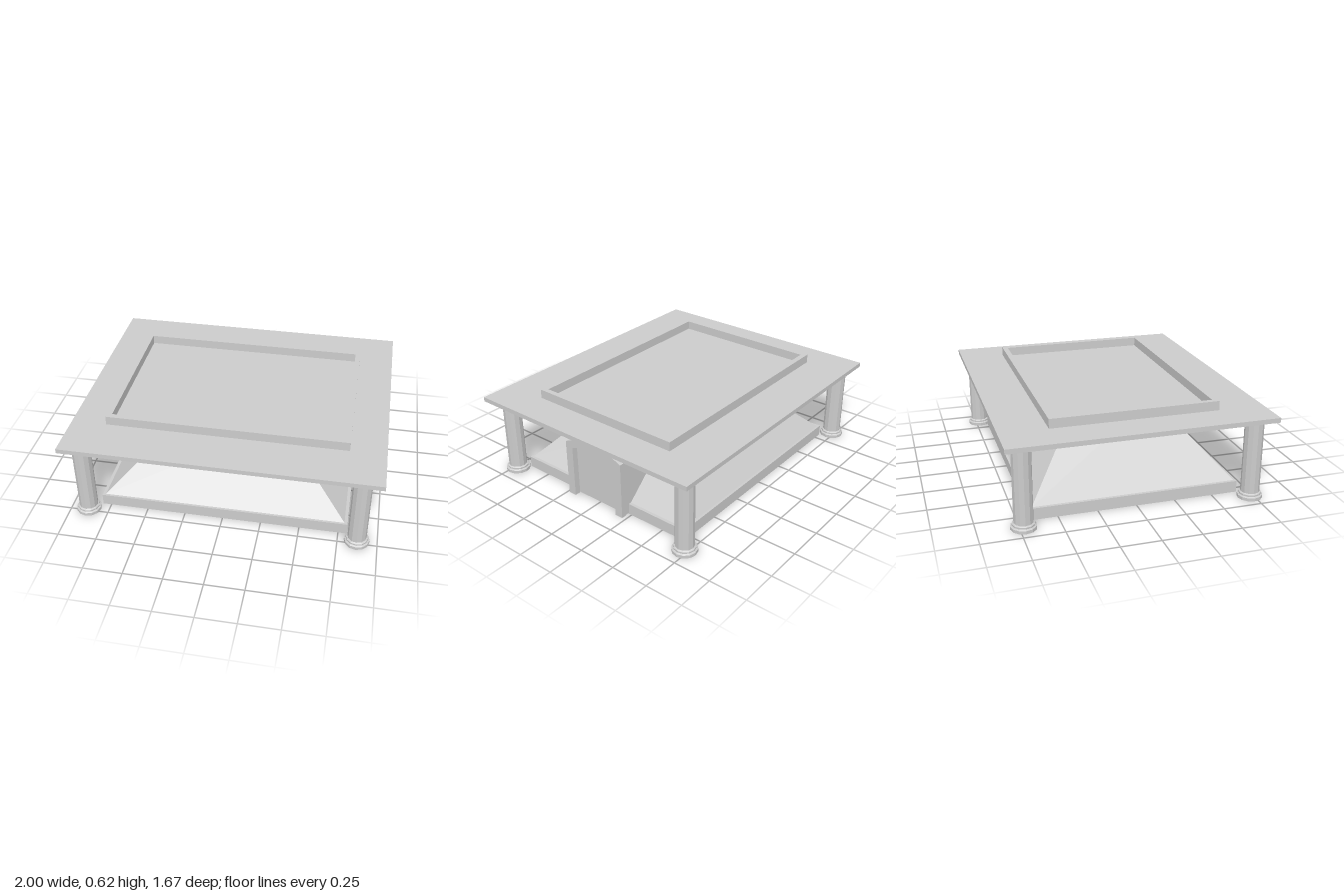
import * as THREE from 'three';

const material = new THREE.MeshStandardMaterial({ color: 0xcccccc, flatShading: true });

function add(parent, name, geometry, x = 0, y = 0, z = 0) {
  const mesh = new THREE.Mesh(geometry, material);
  mesh.name = name;
  mesh.position.set(x, y, z);
  parent.add(mesh);
  return mesh;
}

// Box given by half width, half depth and its bottom and top heights
function slab(parent, name, hx, hz, y0, y1) {
  return add(parent, name, new THREE.BoxGeometry(hx * 2, y1 - y0, hz * 2), 0, (y0 + y1) / 2, 0);
}

// Corners of a gabled outline: half width, bottom, eave and ridge heights
function gable(w, bottom, eave, ridge) {
  return [[-w, bottom], [w, bottom], [w, eave], [0, ridge], [-w, eave]]
    .map(([x, y]) => new THREE.Vector2(x, y));
}

// Extrusion running along +x from x0 to x1
function extrudeX(parent, name, shape, x0, x1) {
  const geometry = new THREE.ExtrudeGeometry(shape, { depth: x1 - x0, bevelEnabled: false });
  geometry.rotateY(Math.PI / 2);
  return add(parent, name, geometry, x0, 0, 0);
}

function createColumn(x, z) {
  const column = new THREE.Group();
  column.name = 'column';
  column.position.set(x, 0, z);
  const profile = [[0, 0], [0.08, 0], [0.08, 0.02], [0.07, 0.026], [0.07, 0.036], [0.06, 0.042],
    [0.06, 0.53], [0, 0.53]].map(([r, y]) => new THREE.Vector2(r, y));
  add(column, 'columnShaftAndFoot', new THREE.LatheGeometry(profile, 12));
  return column;
}

export function createModel() {
  const model = new THREE.Group();
  model.name = 'pavilion';

  // Plinth and sloping body
  slab(model, 'plinth', 0.805, 0.67, 0, 0.075);
  const body = new THREE.BoxGeometry(2, 0.44, 2);
  const p = body.attributes.position;
  for (let i = 0; i < p.count; i++) {
    const top = p.getY(i) > 0;
    p.setX(i, p.getX(i) * (top ? 0.31 : 0.785));
    p.setZ(i, p.getZ(i) * (top ? 0.26 : 0.655));
  }
  add(model, 'slopingBody', body, 0, 0.295, 0);
  slab(model, 'bodyCap', 0.31, 0.26, 0.515, 0.53);

  // Flat roof with a raised rectangular rim
  slab(model, 'roof', 1, 0.837, 0.53, 0.56);
  for (const s of [-1, 1]) {
    add(model, 'roofRimLong', new THREE.BoxGeometry(1.546, 0.06, 0.036), 0, 0.59, s * 0.518);
    add(model, 'roofRimShort', new THREE.BoxGeometry(0.034, 0.06, 1.0), s * 0.756, 0.59, 0);
  }

  // Gabled entrance running into the body, with a raised door frame
  extrudeX(model, 'entrance', new THREE.Shape(gable(0.23, 0.01, 0.39, 0.495)), 0.25, 0.83);
  const frame = new THREE.Shape([
    [-0.23, 0.005], [-0.175, 0.005], [-0.175, 0.36], [0, 0.432], [0.175, 0.36], [0.175, 0.005],
    [0.23, 0.005], [0.23, 0.39], [0, 0.495], [-0.23, 0.39],
  ].map(([x, y]) => new THREE.Vector2(x, y)));
  extrudeX(model, 'doorFrame', frame, 0.83, 0.87);

  // Corner columns
  for (const x of [-0.883, 0.871]) {
    for (const z of [-0.725, 0.725]) model.add(createColumn(x, z));
  }
  return model;
}
